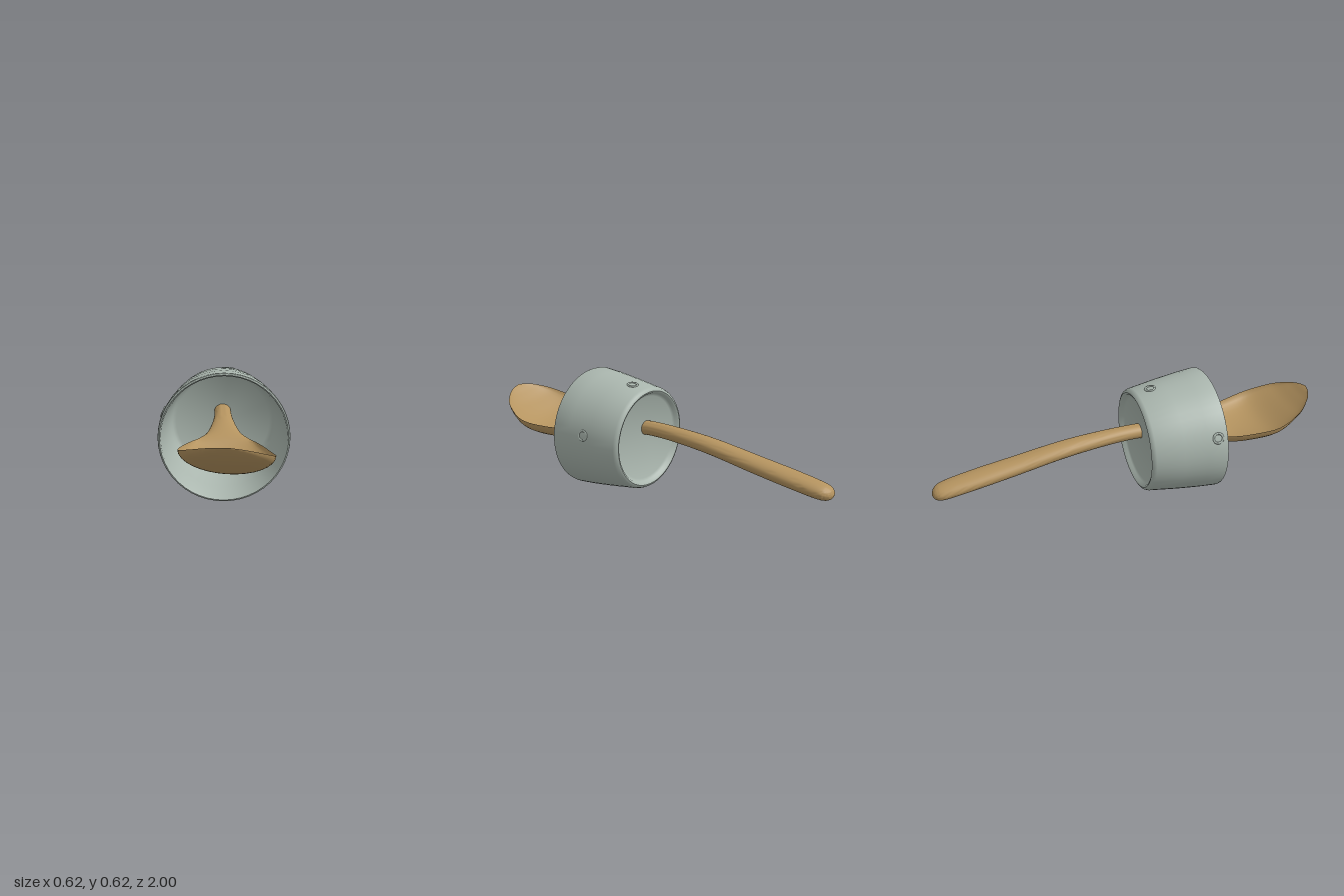
import * as THREE from 'three';
import { toCreasedNormals } from 'three/addons/utils/BufferGeometryUtils.js';

const CUP_Y = 0.31;

// Closed loft along z. Each section: [z, centre x, half width, edge y, depth below edge, rise above edge]
function loftSpoon(sections, steps, sides) {
  const place = new THREE.CatmullRomCurve3(
    sections.map(([z, x, , y]) => new THREE.Vector3(x, y, z)), false, 'catmullrom');
  const size = new THREE.CatmullRomCurve3(
    sections.map(([, , w, , d, t]) => new THREE.Vector3(w, d, t)), false, 'catmullrom');
  const pos = [], index = [];
  for (let i = 0; i <= steps; i++) {
    const c = place.getPoint(i / steps);
    const s = size.getPoint(i / steps);
    const roll = -0.07 * THREE.MathUtils.smoothstep(c.z, 0.3, 0.7);
    for (let j = 0; j < sides; j++) {
      const a = (j / sides) * Math.PI * 2;
      const x = Math.max(s.x, 0) * Math.cos(a);
      const up = Math.sin(a);
      pos.push(c.x + x, c.y + up * (up > 0 ? s.z : s.y) + roll * x, c.z);
    }
  }
  for (let i = 0; i < steps; i++) {
    for (let j = 0; j < sides; j++) {
      const k = (j + 1) % sides;
      const a = i * sides + j, b = i * sides + k, c = a + sides, d = b + sides;
      index.push(a, b, c, b, d, c);
    }
  }
  const geo = new THREE.BufferGeometry();
  geo.setAttribute('position', new THREE.Float32BufferAttribute(pos, 3));
  geo.setIndex(index);
  return toCreasedNormals(geo, 0.8);
}

export function createModel() {
  const model = new THREE.Group();
  const clay = new THREE.MeshStandardMaterial({ color: 0xa9b5ad });
  const wood = new THREE.MeshStandardMaterial({ color: 0xb4935f });

  const add = (name, geo, material) => {
    const mesh = new THREE.Mesh(geo, material);
    mesh.name = name;
    model.add(mesh);
    return mesh;
  };

  // Cup lying on its side, mouth to the front, with a recessed base
  const profile = [
    [0, 0.065], [0.215, 0.065], [0.228, 0.058], [0.235, 0.044], [0.245, 0.039],
    [0.257, 0.045], [0.264, 0.06], [0.285, 0.2], [0.3, 0.32], [0.308, 0.41],
    [0.306, 0.42], [0.299, 0.423], [0.293, 0.416], [0.277, 0.28], [0.256, 0.13],
    [0.247, 0.105], [0.23, 0.095], [0, 0.095],
  ].map(([r, z]) => new THREE.Vector2(r, z));
  const cupGeo = toCreasedNormals(new THREE.LatheGeometry(profile, 48), 0.7);
  cupGeo.rotateX(Math.PI / 2);
  add('cup', cupGeo, clay).position.y = CUP_Y;

  // Small raised rings on the cup wall: [angle around the cup, z]
  [[1.47, 0.13], [0.16, 0.24], [2.75, 0.37]].forEach(([angle, z]) => {
    const r = 0.264 + (z - 0.06) * 0.126;
    const ring = add('wallRing', new THREE.TorusGeometry(0.024, 0.006, 6, 16), clay);
    ring.position.set(r * Math.cos(angle), CUP_Y + r * Math.sin(angle), z);
    ring.quaternion.setFromUnitVectors(
      new THREE.Vector3(0, 0, 1),
      new THREE.Vector3(Math.cos(angle), Math.sin(angle), -0.126).normalize());
  });

  // Wooden spoon running through the base of the cup
  const sections = [
    [-1, -0.022, 0, 0.25, 0, 0],
    [-0.985, -0.021, 0.036, 0.254, 0.025, 0.025],
    [-0.94, -0.018, 0.058, 0.261, 0.037, 0.037],
    [-0.8, -0.014, 0.064, 0.282, 0.04, 0.04],
    [-0.6, -0.01, 0.061, 0.31, 0.04, 0.04],
    [-0.3, -0.005, 0.052, 0.352, 0.038, 0.038],
    [0, -0.002, 0.041, 0.366, 0.036, 0.036],
    [0.2, 0, 0.045, 0.347, 0.038, 0.036],
    [0.35, 0, 0.076, 0.318, 0.05, 0.027],
    [0.43, 0, 0.113, 0.314, 0.068, 0.004],
    [0.5, 0.001, 0.15, 0.315, 0.082, -0.042],
    [0.6, 0.003, 0.186, 0.32, 0.095, -0.07],
    [0.75, 0.005, 0.212, 0.338, 0.096, -0.075],
    [0.88, 0.005, 0.172, 0.378, 0.062, -0.044],
    [0.95, 0.003, 0.112, 0.407, 0.034, -0.02],
    [0.985, 0, 0.055, 0.424, 0.013, -0.004],
    [1, 0, 0, 0.432, 0, 0],
  ];
  add('spoon', loftSpoon(sections, 96, 32), wood);

  return model;
}
